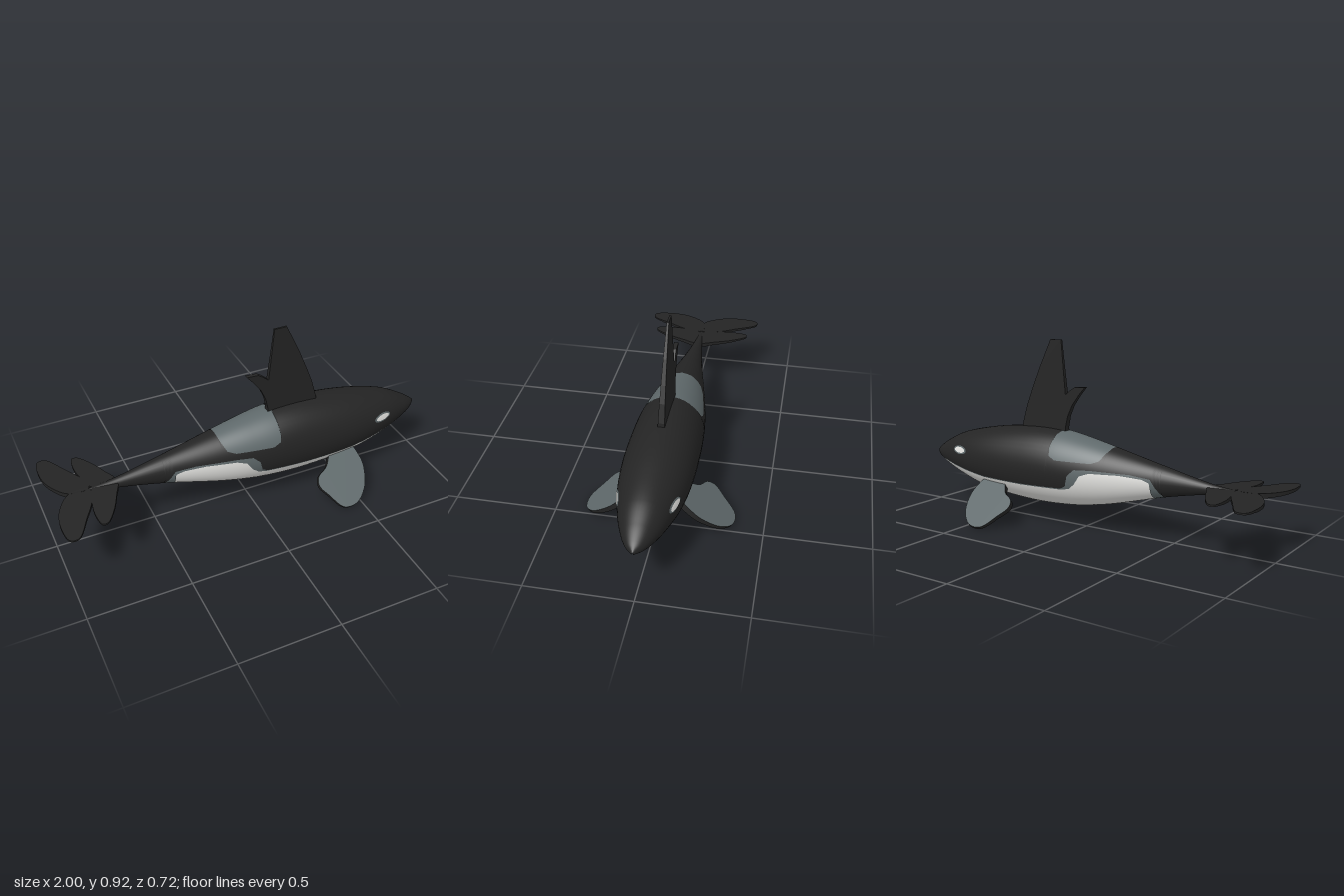
import * as THREE from 'three';

const mat = (name, color) => {
  const m = new THREE.MeshStandardMaterial({ color });
  m.name = name;
  return m;
};

// Body sections: x, top y, bottom y, half width
const SECTIONS = [
  [-0.9, 0.289, 0.277, 0.006], [-0.8, 0.295, 0.272, 0.012], [-0.67, 0.311, 0.257, 0.025],
  [-0.44, 0.358, 0.21, 0.062], [-0.16, 0.418, 0.138, 0.119], [0.0, 0.451, 0.108, 0.147],
  [0.14, 0.473, 0.095, 0.163], [0.3, 0.477, 0.093, 0.17], [0.49, 0.461, 0.107, 0.167],
  [0.65, 0.434, 0.132, 0.149], [0.8, 0.395, 0.176, 0.112], [0.9, 0.347, 0.215, 0.075],
  [0.96, 0.31, 0.244, 0.042], [1.0, 0.28, 0.268, 0.004],
];

// Upper edge of each colour band along the body, as [x, y]
const WHITE_TOP = [
  [-0.9, 0], [-0.405, 0], [-0.395, 0.285], [-0.36, 0.298], [-0.25, 0.306], [-0.1, 0.302], [-0.05, 0.285],
  [-0.02, 0.24], [0.01, 0.215], [0.05, 0.205], [0.3, 0.2], [0.55, 0.203], [0.76, 0.225],
  [0.96, 0.255], [0.965, 0], [1, 0],
];
const BORDER_TOP = [
  [-0.9, 0], [-0.455, 0], [-0.445, 0.235], [-0.4, 0.302], [-0.3, 0.314], [-0.1, 0.316], [-0.02, 0.312],
  [0.015, 0.28], [0.03, 0.225], [0.06, 0.21], [0.3, 0.204], [0.55, 0.207], [0.76, 0.229],
  [0.96, 0.259], [1, 0.27],
];
const SADDLE_BOTTOM = [
  [-0.9, 1], [-0.165, 1], [-0.16, 0.4], [-0.14, 0.362], [-0.1, 0.347], [0.09, 0.347],
  [0.125, 0.365], [0.135, 0.4], [0.14, 1], [1, 1],
];

const findSpan = (rows, x) => {
  let i = 0;
  while (i < rows.length - 2 && x > rows[i + 1][0]) i++;
  return i;
};

const linear = (rows, x) => {
  const i = findSpan(rows, x), [x0, y0] = rows[i], [x1, y1] = rows[i + 1];
  return y0 + (y1 - y0) * (x - x0) / (x1 - x0);
};

// Smooth interpolation of one column of the section table
const smooth = (x, col) => {
  const R = SECTIONS, i = findSpan(R, x), dx = R[i + 1][0] - R[i][0], t = (x - R[i][0]) / dx;
  const slope = k => {
    const a = R[Math.max(k - 1, 0)], b = R[Math.min(k + 1, R.length - 1)];
    return (b[col] - a[col]) / (b[0] - a[0]);
  };
  const t2 = t * t, t3 = t2 * t;
  return (2 * t3 - 3 * t2 + 1) * R[i][col] + (t3 - 2 * t2 + t) * dx * slope(i)
    + (3 * t2 - 2 * t3) * R[i + 1][col] + (t3 - t2) * dx * slope(i + 1);
};

// Point on the body's +z half; angle runs from belly (-90 deg) to back (+90 deg)
const bodyPoint = (x, a) => {
  const top = smooth(x, 1), low = smooth(x, 2);
  return new THREE.Vector3(x, (top + low) / 2 + (top - low) / 2 * Math.sin(a), smooth(x, 3) * Math.cos(a));
};
const bodyNormal = (x, a) => {
  const e = 0.002, x0 = Math.max(x - e, -0.9), x1 = Math.min(x + e, 1);
  const dx = bodyPoint(x1, a).sub(bodyPoint(x0, a));
  const da = bodyPoint(x, a + e).sub(bodyPoint(x, a - e));
  return dx.cross(da).normalize();
};
const angleAt = (x, y) => {
  const top = smooth(x, 1), low = smooth(x, 2);
  return Math.asin(THREE.MathUtils.clamp((2 * y - top - low) / (top - low), -1, 1));
};

// Lofted body whose rows follow the colour borders
function bodyGeometry() {
  const xs = new Set([...WHITE_TOP, ...BORDER_TOP, ...SADDLE_BOTTOM, ...SECTIONS].map(r => r[0]));
  for (let i = 0; i <= 76; i++) xs.add(+(-0.9 + i * 0.025).toFixed(3));
  const stations = [...xs].sort((a, b) => a - b);
  const N = 14, pos = [], nor = [], idx = [];
  const geo = new THREE.BufferGeometry();
  for (let band = 0; band < 4; band++) {
    const first = idx.length;
    for (const s of [1, -1]) {
      const base = pos.length / 3;
      stations.forEach((x, i) => {
        const levels = [-Math.PI / 2, angleAt(x, linear(WHITE_TOP, x)), angleAt(x, linear(BORDER_TOP, x)),
          angleAt(x, linear(SADDLE_BOTTOM, x)), Math.PI / 2];
        for (let j = 0; j <= N; j++) {
          const a = THREE.MathUtils.lerp(levels[band], levels[band + 1], j / N);
          const p = bodyPoint(x, a), n = bodyNormal(x, a);
          pos.push(p.x, p.y, p.z * s);
          nor.push(n.x, n.y, n.z * s);
          if (i && j) {
            const d = base + i * (N + 1) + j, c = d - 1, b = d - N - 1, a0 = b - 1;
            if (s > 0) idx.push(a0, c, d, a0, d, b);
            else idx.push(a0, d, c, a0, b, d);
          }
        }
      });
    }
    geo.addGroup(first, idx.length - first, band);
  }
  geo.setAttribute('position', new THREE.Float32BufferAttribute(pos, 3));
  geo.setAttribute('normal', new THREE.Float32BufferAttribute(nor, 3));
  geo.setIndex(idx);
  return geo;
}

// Thin patch lying on the body, used for the eye spots
function spot(name, x, y, rx, ry, lift, side, material) {
  const geo = new THREE.CircleGeometry(1, 20), p = geo.attributes.position, n = geo.attributes.normal;
  for (let i = 0; i < p.count; i++) {
    const px = x + p.getX(i) * rx * side, a = angleAt(px, y + p.getY(i) * ry);
    const nn = bodyNormal(px, a), q = bodyPoint(px, a).addScaledVector(nn, lift);
    p.setXYZ(i, q.x, q.y, q.z * side);
    n.setXYZ(i, nn.x, nn.y, nn.z * side);
  }
  const mesh = new THREE.Mesh(geo, material);
  mesh.name = name;
  return mesh;
}

const closedCurve = pts => new THREE.CatmullRomCurve3(
  pts.map(([x, v]) => new THREE.Vector3(x, v, 0)), true, 'centripetal').getPoints(70).slice(0, -1);

// Tapered fin: outline in (x, distance along dir), thickness from root t0 to tip t1
function fin(name, outline, origin, dir, t0, t1, [back, front, edge]) {
  const geo = new THREE.ExtrudeGeometry(new THREE.Shape(outline.map(p => new THREE.Vector2(p.x, p.y))),
    { depth: 1, bevelEnabled: false, steps: 1 });
  const vs = outline.map(p => p.y), lo = Math.min(...vs), hi = Math.max(...vs);
  const p = geo.attributes.position;
  for (let i = 0; i < p.count; i++) {
    p.setZ(i, (p.getZ(i) - 0.5) * THREE.MathUtils.lerp(t0, t1, (p.getY(i) - lo) / (hi - lo)));
  }
  const caps = geo.groups[0].count;
  geo.clearGroups();
  geo.addGroup(0, caps / 2, 0);
  geo.addGroup(caps / 2, caps / 2, 1);
  geo.addGroup(caps, p.count - caps, 2);
  const xAxis = new THREE.Vector3(1, 0, 0);
  geo.applyMatrix4(new THREE.Matrix4().makeBasis(xAxis, dir, xAxis.clone().cross(dir)).setPosition(origin));
  geo.computeVertexNormals();
  const mesh = new THREE.Mesh(geo, [back, front, edge]);
  mesh.name = name;
  return mesh;
}

export function createModel() {
  const black = mat('black skin', 0x242424), white = mat('white skin', 0xe2e2df), grey = mat('grey skin', 0x5f696b);
  const V = (x, y, z) => new THREE.Vector3(x, y, z);
  const model = new THREE.Group();
  model.name = 'whale';

  const body = new THREE.Mesh(bodyGeometry(), [white, grey, black, grey]);
  body.name = 'body';
  model.add(body);

  // Dorsal fin with a hooked rear lobe
  const dorsal = [[0.39, 0.44], [0.385, 0.49], [0.36, 0.58], [0.33, 0.66], [0.285, 0.77], [0.215, 0.92],
    [0.15, 0.92], [0.135, 0.78], [0.12, 0.65], [0.095, 0.672], [0.065, 0.692], [0.005, 0.695],
    [0.04, 0.655], [0.08, 0.6], [0.105, 0.545], [0.117, 0.49], [0.117, 0.44]].map(([x, y]) => V(x, y, 0));
  model.add(fin('dorsalFin', dorsal, V(0, 0, 0), V(0, 1, 0), 0.034, 0.01, [black, black, black]));

  const pectoral = closedCurve([[0.44, -0.02], [0.375, 0.065], [0.315, 0.105], [0.302, 0.15], [0.335, 0.21],
    [0.39, 0.288], [0.465, 0.288], [0.535, 0.225], [0.572, 0.13], [0.574, 0.07], [0.54, -0.02]]);
  const rearFluke = closedCurve([[-0.905, 0], [-0.98, 0.1], [-1.0, 0.21], [-0.983, 0.3], [-0.945, 0.303],
    [-0.875, 0.19], [-0.82, 0.085], [-0.81, 0]]);
  const frontFluke = closedCurve([[-0.79, 0], [-0.825, 0.1], [-0.835, 0.185], [-0.822, 0.258], [-0.798, 0.258],
    [-0.745, 0.185], [-0.7, 0.085], [-0.675, 0.02], [-0.7, 0]]);

  for (const s of [1, -1]) {
    const side = s > 0 ? 'right' : 'left';
    // The outline's front cap faces down on +z and up on -z
    const skins = (top, under, edge) => s > 0 ? [top, under, edge] : [under, top, edge];
    model.add(fin(side + 'PectoralFin', pectoral, V(0, 0.18, 0.12 * s), V(0, -0.6, 0.8 * s),
      0.034, 0.014, skins(grey, black, black)));
    for (const [name, outline, limit] of [['RearFluke', rearFluke, 0.25], ['FrontFluke', frontFluke, 0.21]]) {
      model.add(fin(side + name, outline, V(0, 0.285, 0), V(0, 0, s), 0.022, 0.008, [black, black, black]));
      // Pale underside that stops short of the black tip
      const t1 = THREE.MathUtils.lerp(0.022, 0.008, 0.82);
      model.add(fin(side + name + 'Underside', outline.filter(p => p.y < limit), V(0, 0.2835, 0), V(0, 0, s),
        0.022, t1, skins(black, white, black)));
    }
    model.add(spot(side + 'EyeSpotRim', 0.727, 0.322, 0.054, 0.021, 0.0025, s, grey));
    model.add(spot(side + 'EyeSpot', 0.727, 0.322, 0.043, 0.014, 0.0045, s, white));
  }
  return model;
}
